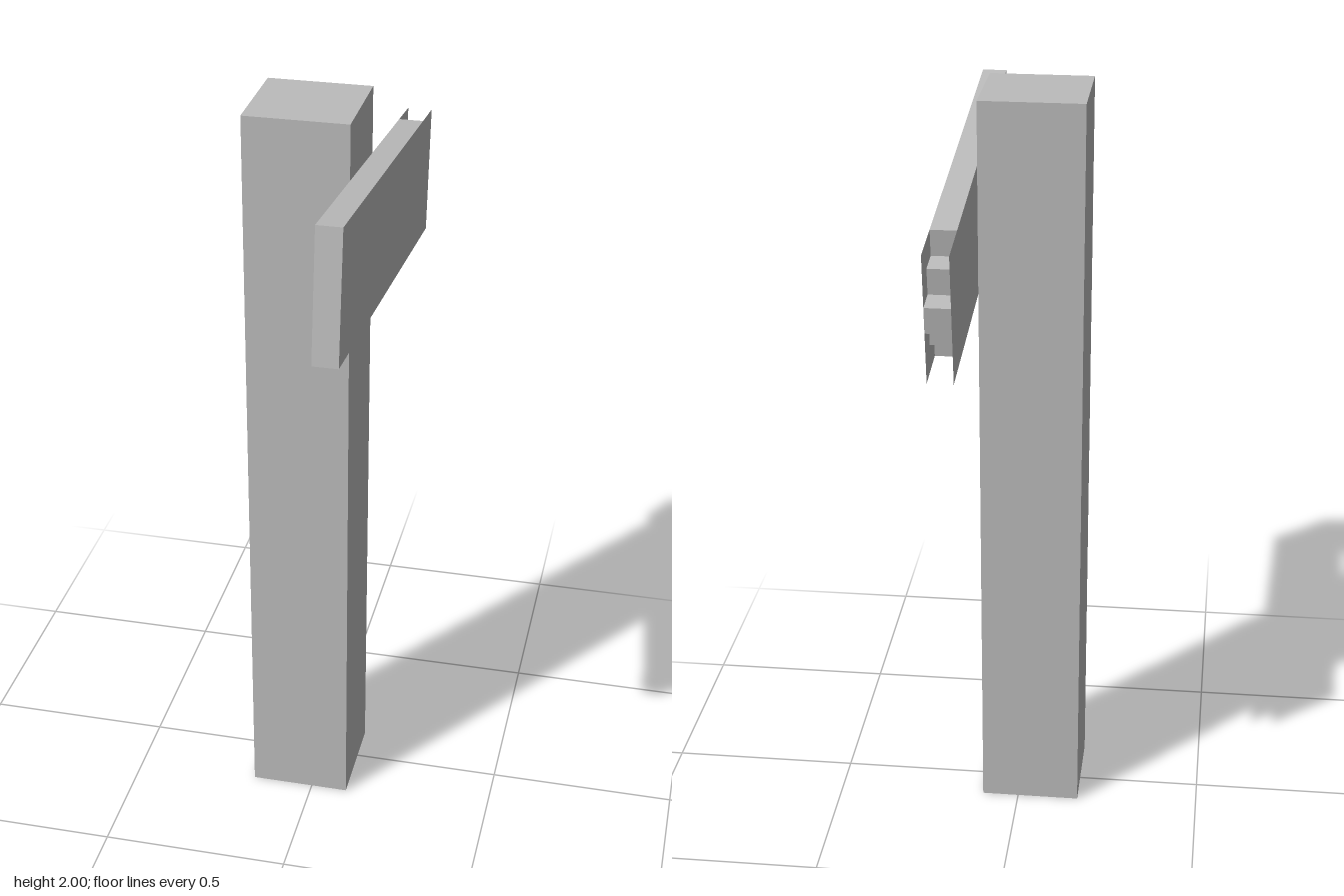
import * as THREE from 'three';

const UNIT = 1 / 15; // block size that all parts are multiples of

// Surface made by carrying a (z, y) profile across the width in x
function sweepAcross(profile, width) {
  const h = width / 2;
  const pos = [];
  for (let i = 0; i < profile.length - 1; i++) {
    const [az, ay] = profile[i];
    const [bz, by] = profile[i + 1];
    pos.push(-h, ay, az, h, ay, az, h, by, bz);
    pos.push(-h, ay, az, h, by, bz, -h, by, bz);
  }
  const geo = new THREE.BufferGeometry();
  geo.setAttribute('position', new THREE.Float32BufferAttribute(pos, 3));
  geo.computeVertexNormals();
  return geo;
}

// Box without its underside
function openBox(w, h, d) {
  const geo = new THREE.BoxGeometry(w, h, d);
  const index = Array.from(geo.index.array);
  index.splice(18, 6);
  geo.setIndex(index);
  geo.clearGroups();
  return geo;
}

export function createModel() {
  const model = new THREE.Group();
  model.name = 'signpost';
  const grey = new THREE.MeshStandardMaterial({ color: 0xbcbcbc, side: THREE.DoubleSide });
  grey.name = 'grey';

  const add = (parent, name, geo) => {
    const mesh = new THREE.Mesh(geo, grey);
    mesh.name = name;
    parent.add(mesh);
    return mesh;
  };

  // Square post, open underneath
  add(model, 'post', openBox(4 * UNIT, 2, 4 * UNIT)).position.set(-0.034, 1, 0.028);

  // Tilted arrow board on the post's left side
  const board = new THREE.Group();
  board.name = 'arrowBoard';
  board.position.set(0.134, 1.675, 0.0025);
  board.rotation.x = -0.124;
  model.add(board);

  // Front end, top and stepped point, open along the bottom
  const profile = [
    [8.5, -2.5], [8.5, 2.5], [-6.5, 2.5], [-6.5, 1.5], [-7.5, 1.5], [-7.5, 0.5],
    [-8.5, 0.5], [-8.5, -0.5], [-7.5, -0.5], [-7.5, -1.5], [-6.5, -1.5], [-6.5, -2.5],
  ].map(([z, y]) => [z * UNIT, y * UNIT]);
  add(board, 'boardEdge', sweepAcross(profile, 0.064));

  // Full-length side faces
  for (const side of [1, -1]) {
    const face = add(board, side > 0 ? 'outerFace' : 'innerFace',
      new THREE.PlaneGeometry(17 * UNIT, 5 * UNIT));
    face.rotation.y = side * Math.PI / 2;
    face.position.x = side * 0.032;
  }
  return model;
}
